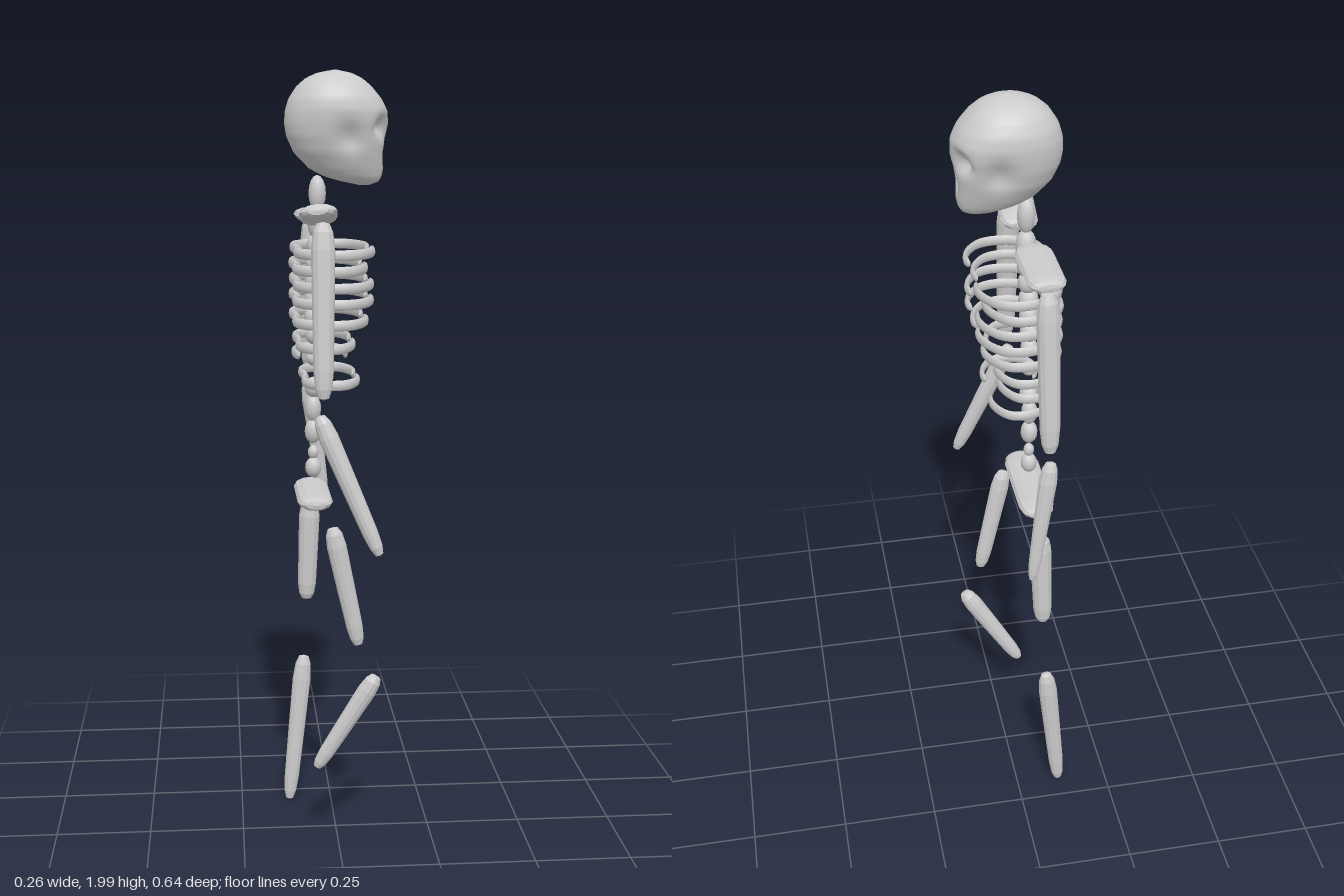
import * as THREE from 'three';

const smooth = new THREE.MeshStandardMaterial({ color: 0xcccccc });
const faceted = new THREE.MeshStandardMaterial({ color: 0xcccccc, flatShading: true });
const MID = -0.016; // z of the body's centre line; the skeleton looks along +x

// Tapered rounded bone from a to b; rx is its half width along x, rz across
function bone(name, a, b, rx, rz, taper = 1) {
  const A = new THREE.Vector3(...a), B = new THREE.Vector3(...b);
  const dir = B.clone().sub(A), len = dir.length();
  const profile = [[0, 0], [0.55, 0.01], [0.85, 0.06], [1, 0.16], [1, 0.5], [1, 0.84], [0.85, 0.94], [0.55, 0.99], [0, 1]]
    .map(([r, t]) => new THREE.Vector2(r * (taper + (1 - taper) * Math.min(1, t * 1.3)), t * len));
  const geo = new THREE.LatheGeometry(profile, 12);
  geo.scale(rx, 1, rz);
  const mesh = new THREE.Mesh(geo, faceted);
  mesh.position.copy(A);
  mesh.quaternion.setFromUnitVectors(new THREE.Vector3(0, 1, 0), dir.normalize());
  mesh.name = name;
  return mesh;
}

// Skull: sphere fitted to horizontal sections, with sockets pressed in
function skull() {
  const rows = [ // y, back x, front x, half width
    [1.72, 0.06, 0.085, 0.012], [1.728, 0.02, 0.108, 0.03], [1.74, -0.025, 0.116, 0.043],
    [1.76, -0.065, 0.12, 0.056], [1.80, -0.104, 0.121, 0.077], [1.84, -0.122, 0.126, 0.09],
    [1.87, -0.127, 0.133, 0.096], [1.90, -0.125, 0.13, 0.099], [1.93, -0.116, 0.115, 0.095],
    [1.96, -0.096, 0.09, 0.08], [1.98, -0.072, 0.066, 0.06], [1.992, -0.045, 0.04, 0.038], [2.0, -0.002, 0.002, 0.002]];
  const geo = new THREE.SphereGeometry(1, 56, 44);
  const p = geo.attributes.position;
  const bump = (dy, dz, sy, sz) => Math.exp(-((dy / sy) ** 2) - (dz / sz) ** 2);
  for (let i = 0; i < p.count; i++) {
    const y = 1.86 + 0.14 * p.getY(i);
    const ring = Math.hypot(p.getX(i), p.getZ(i)) || 1;
    const c = p.getX(i) / ring, s = p.getZ(i) / ring;
    let k = 0;
    while (k < rows.length - 2 && y > rows[k + 1][0]) k++;
    const t = (y - rows[k][0]) / (rows[k + 1][0] - rows[k][0]);
    const [back, front, half] = [1, 2, 3].map(j => THREE.MathUtils.lerp(rows[k][j], rows[k + 1][j], t));
    const round = v => Math.sign(v) * Math.abs(v) ** 0.9;
    let x = (back + front) / 2 + (front - back) / 2 * round(c);
    let z = half * round(s);
    if (c > 0) {
      x -= 0.032 * bump(y - 1.862, Math.abs(z) - 0.042, 0.022, 0.022); // eye sockets
      x -= 0.028 * bump(y - 1.802, z, 0.02, 0.012); // nose opening
    }
    z *= 1 - 0.2 * bump(y - 1.835, x - 0.03, 0.035, 0.03); // temples
    p.setXYZ(i, x, y, z + MID);
  }
  geo.computeVertexNormals();
  const mesh = new THREE.Mesh(geo, smooth);
  mesh.name = 'skull';
  return mesh;
}

// One rib: a flattened, tapered tube curving from the spine round to the front
function rib(name, y, side, back, front, width, tilt) {
  const shape = [[0.78, 0.15], [0.97, 0.4], [0.95, 0.68], [0.6, 0.9], [0, 1], [-0.5, 0.94], [-0.85, 0.72], [-1, 0.45], [-0.93, 0.22]];
  const cx = (back + front) / 2, hx = (front - back) / 2;
  const path = new THREE.CatmullRomCurve3(shape.map(([u, d]) =>
    new THREE.Vector3(cx - u * hx, 0, side * d * width)));
  const segs = 36, sides = 8;
  const geo = new THREE.TubeGeometry(path, segs, 0.0065, sides);
  const p = geo.attributes.position, v = new THREE.Vector3();
  for (let i = 0; i < p.count; i++) {
    const t = Math.floor(i / (sides + 1)) / segs;
    const c = path.getPointAt(t);
    const r = Math.min(1, Math.sqrt(Math.min(t, 1 - t) / 0.06));
    v.fromBufferAttribute(p, i).sub(c).multiplyScalar(r);
    v.y *= 2;
    v.add(c);
    v.y += tilt * (Math.abs(v.z) / width - 0.5);
    p.setXYZ(i, v.x, v.y, v.z);
  }
  geo.computeVertexNormals();
  const mesh = new THREE.Mesh(geo, smooth);
  mesh.position.set(0, y, MID);
  mesh.name = name;
  return mesh;
}

export function createModel() {
  const model = new THREE.Group();
  model.name = 'skeleton';
  model.add(skull());

  // Spine: y, half height, radius, x
  const spine = new THREE.Group();
  spine.name = 'spine';
  [[1.70, 0.045, 0.022, -0.045], [1.625, 0.04, 0.025, -0.045], [1.57, 0.03, 0.025, -0.048], [1.525, 0.028, 0.025, -0.05],
    [1.48, 0.028, 0.025, -0.052], [1.435, 0.028, 0.024, -0.053], [1.39, 0.028, 0.024, -0.055], [1.345, 0.025, 0.022, -0.055],
    [1.285, 0.02, 0.02, -0.055], [1.21, 0.027, 0.024, -0.055], [1.155, 0.035, 0.021, -0.057], [1.095, 0.032, 0.022, -0.057],
    [1.04, 0.018, 0.014, -0.057], [1.0, 0.027, 0.021, -0.057]]
    .forEach(([y, h, r, x], i) => {
      const m = new THREE.Mesh(new THREE.SphereGeometry(1, 12, 8), smooth);
      m.scale.set(r, h, r);
      m.position.set(x, y, MID);
      m.name = 'vertebra' + (i + 1);
      spine.add(m);
    });
  model.add(spine);

  // Ribs: y, back x, front x, half width on each side
  const cage = new THREE.Group();
  cage.name = 'ribCage';
  [[1.56, -0.105, 0.088, 0.17, 0.185], [1.52, -0.108, 0.07, 0.17, 0.188], [1.48, -0.107, 0.085, 0.175, 0.185],
    [1.44, -0.108, 0.085, 0.17, 0.188], [1.39, -0.108, 0.072, 0.174, 0.174], [1.33, -0.1, 0.04, 0.16, 0.155],
    [1.29, -0.102, 0.032, 0, 0.157], [1.238, -0.085, 0.052, 0.142, 0.148]]
    .forEach(([y, back, front, right, left], i) => {
      if (right) cage.add(rib('rightRib' + (i + 1), y, 1, back, front, right, -0.008));
      cage.add(rib('leftRib' + (i + 1), y, -1, back, front, left, 0.008));
    });
  model.add(cage);

  // Shoulders and pelvis: broad flat bones across the body
  model.add(
    bone('rightCollarbone', [-0.045, 1.638, 0.05], [-0.06, 1.668, 0.245], 0.046, 0.019),
    bone('leftCollarbone', [-0.048, 1.64, -0.27], [-0.048, 1.64, -0.06], 0.046, 0.018),
    bone('pelvis', [-0.058, 0.93, -0.157], [-0.058, 0.93, 0.127], 0.045, 0.02));

  // Limbs, each from its lower to its upper end
  model.add(
    bone('rightUpperArm', [-0.048, 1.22, 0.26], [-0.046, 1.64, 0.212], 0.029, 0.025, 0.8),
    bone('leftUpperArm', [-0.05, 1.22, -0.3], [-0.046, 1.63, -0.264], 0.028, 0.025, 0.85),
    bone('rightForearm', [0.085, 0.845, 0.305], [-0.06, 1.185, 0.268], 0.024, 0.022, 0.75),
    bone('leftForearm', [-0.008, 0.85, -0.31], [-0.055, 1.185, -0.288], 0.023, 0.02, 0.6),
    bone('rightThigh', [0.05, 0.56, 0.125], [-0.018, 0.875, 0.132], 0.025, 0.02, 0.8),
    bone('leftThigh', [-0.067, 0.597, -0.176], [-0.057, 0.877, -0.17], 0.028, 0.024, 0.85),
    bone('rightShin', [-0.058, 0.22, 0.104], [0.097, 0.475, 0.122], 0.025, 0.022, 0.75),
    bone('leftShin', [-0.117, 0.006, -0.184], [-0.073, 0.427, -0.2], 0.025, 0.02, 0.75));
  return model;
}
